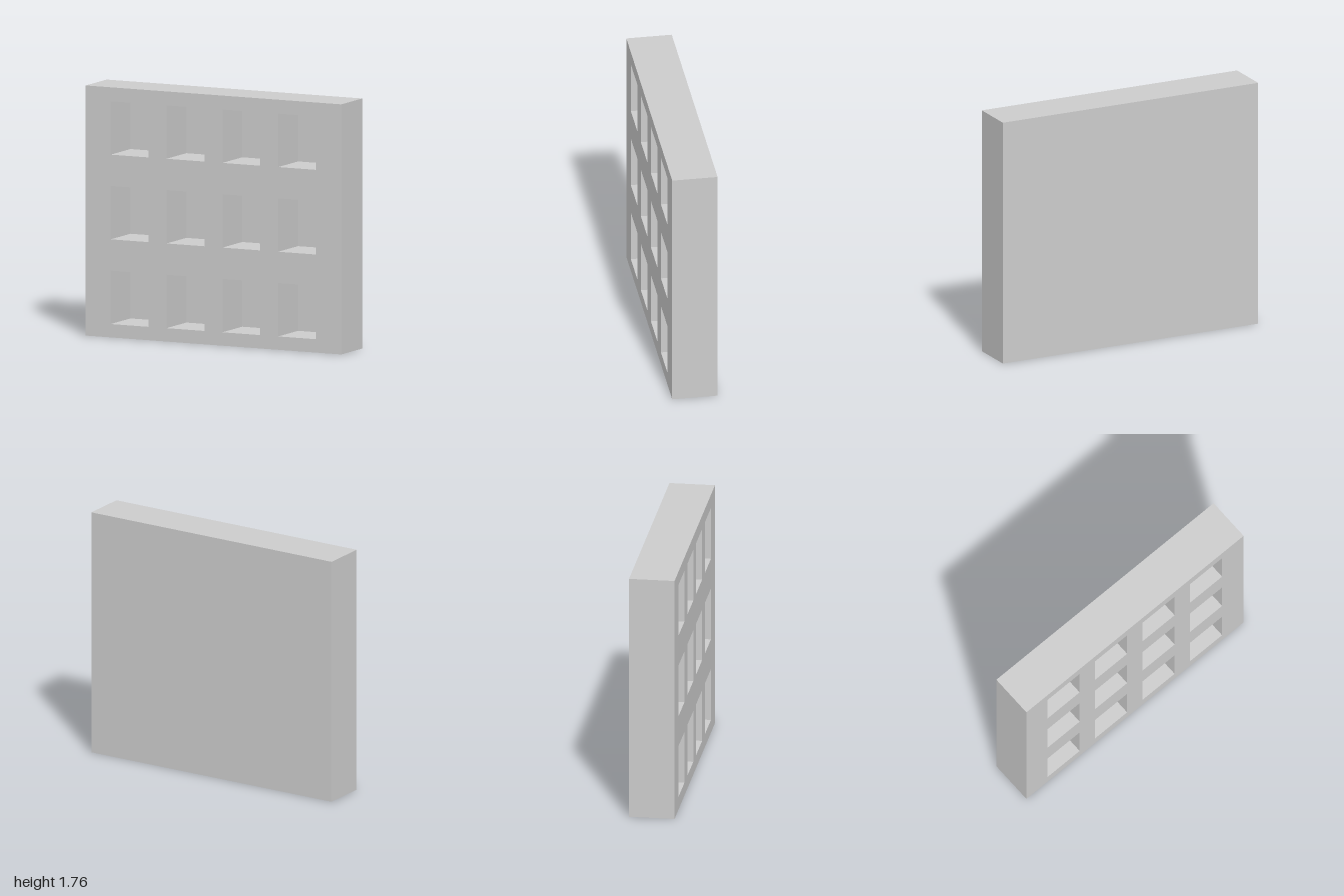
import * as THREE from 'three';

const WIDTH = 2, HEIGHT = 1.76, DEPTH = 0.32, BACK = 0.016;
const COLS = 4, ROWS = 3;
const HOLE_W = 0.296, HOLE_H = 0.376;
const PITCH_X = 0.437, PITCH_Y = 0.596, FIRST_Y = 0.094;

// Rectangle outline from its lower left corner
function rectangle(PathType, x, y, w, h) {
  return new PathType([
    new THREE.Vector2(x, y),
    new THREE.Vector2(x + w, y),
    new THREE.Vector2(x + w, y + h),
    new THREE.Vector2(x, y + h),
  ]);
}

export function createModel() {
  const model = new THREE.Group();
  model.name = 'pigeonholeBlock';
  const material = new THREE.MeshStandardMaterial({ color: 0xcccccc, flatShading: true });

  // Thick front grid with a regular array of rectangular openings
  const outline = rectangle(THREE.Shape, -WIDTH / 2, 0, WIDTH, HEIGHT);
  for (let row = 0; row < ROWS; row++) {
    for (let col = 0; col < COLS; col++) {
      const centreX = (col - (COLS - 1) / 2) * PITCH_X - 0.002;
      outline.holes.push(
        rectangle(THREE.Path, centreX - HOLE_W / 2, FIRST_Y + row * PITCH_Y, HOLE_W, HOLE_H)
      );
    }
  }
  const grid = new THREE.Mesh(
    new THREE.ExtrudeGeometry(outline, { depth: DEPTH - BACK, bevelEnabled: false }),
    material
  );
  grid.name = 'compartmentGrid';
  grid.position.z = -DEPTH / 2 + BACK;
  model.add(grid);

  // Thin panel closing the compartments at the back
  const panel = new THREE.Mesh(new THREE.BoxGeometry(WIDTH, HEIGHT, BACK), material);
  panel.name = 'backPanel';
  panel.position.set(0, HEIGHT / 2, -DEPTH / 2 + BACK / 2);
  model.add(panel);

  return model;
}
